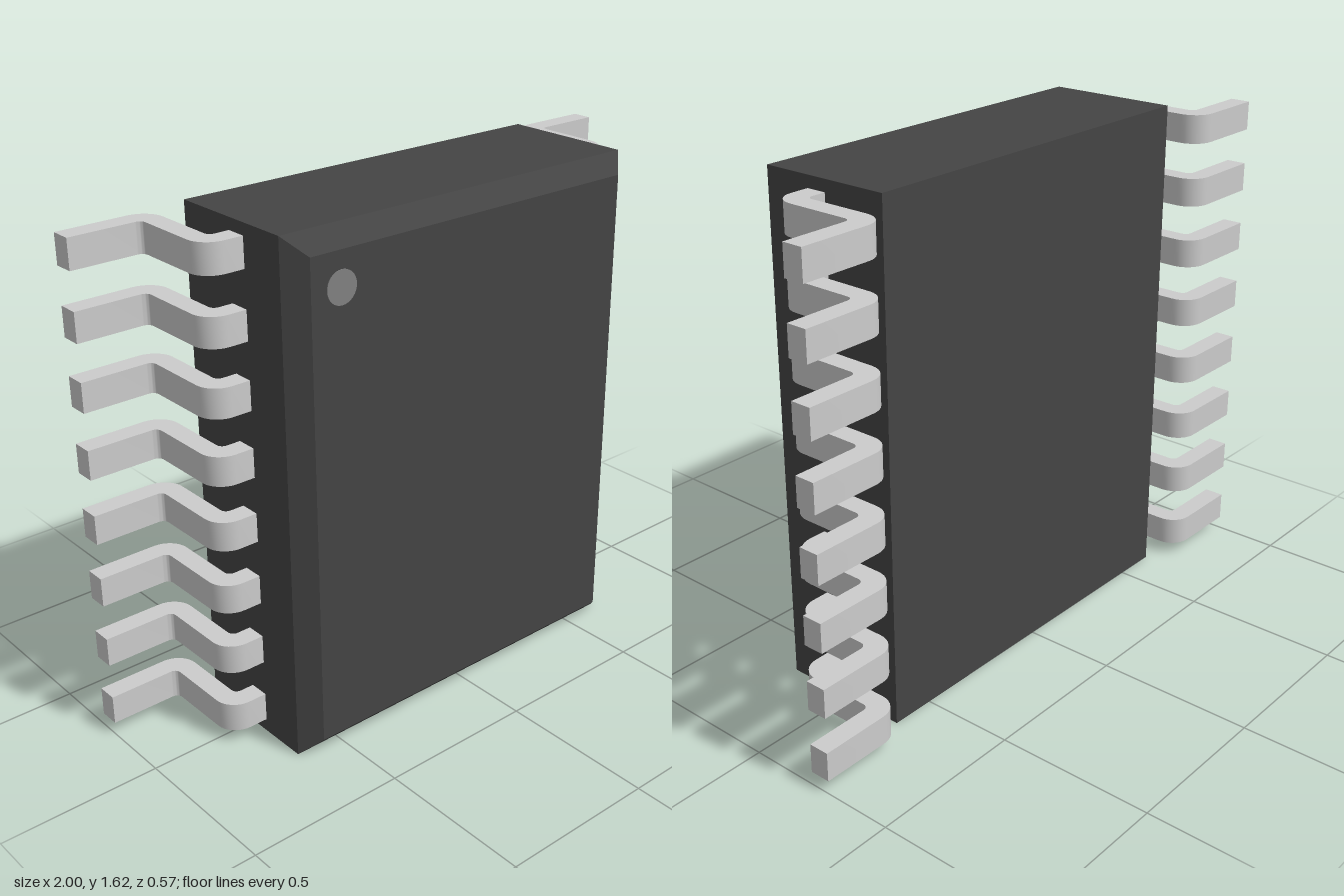
import * as THREE from 'three';
import { toCreasedNormals } from 'three/addons/utils/BufferGeometryUtils.js';

const HALF_W = 0.643, HEIGHT = 1.615, BACK = -0.205, FRONT = 0.28, CHAMFER = 0.056;
const PINS = 8, FIRST_PIN = 0.088, PITCH = 0.2063, PIN_H = 0.092;

// Box whose front rim is cut back at 45 degrees on all four edges
function bodyGeometry() {
  const depth = FRONT - BACK;
  const geo = new THREE.BoxGeometry(HALF_W * 2, HEIGHT, depth, 1, 1, 2);
  const p = geo.attributes.position;
  for (let i = 0; i < p.count; i++) {
    const z = p.getZ(i);
    if (Math.abs(z) < 1e-6) {
      p.setZ(i, depth / 2 - CHAMFER);
    } else if (z > 0) {
      p.setX(i, p.getX(i) - Math.sign(p.getX(i)) * CHAMFER);
      p.setY(i, p.getY(i) - Math.sign(p.getY(i)) * CHAMFER);
    }
  }
  geo.translate(0, HEIGHT / 2, (FRONT + BACK) / 2);
  const flat = geo.toNonIndexed();
  flat.computeVertexNormals();
  return flat;
}

// Bent lead: S-shaped outline seen from above, extruded along y; side is +1 or -1
function leadGeometry(side) {
  const rOut = 0.07, rIn = 0.02;
  const x0 = 0.62, xa = 0.708, xb = 0.772, x1 = 1;   // inside body, riser, tip
  const zFront = 0.068, zInner = 0.004, zFoot = -0.22, zBack = -0.285;
  const s = new THREE.Shape();
  const move = (x, z) => s.moveTo(side * x, -z);
  const line = (x, z) => s.lineTo(side * x, -z);
  const bend = (cx, cz, r, from, to) => {
    for (let i = 0; i <= 8; i++) {
      const a = (from + (to - from) * i / 8) * Math.PI / 2;
      line(cx + r * Math.cos(a), cz + r * Math.sin(a));
    }
  };
  move(x0, zFront);
  bend(xb - rOut, zFront - rOut, rOut, 1, 0);
  bend(xb + rIn, zFoot + rIn, rIn, 2, 3);
  line(x1, zFoot);
  line(x1, zBack);
  bend(xa + rOut, zBack + rOut, rOut, 3, 2);
  bend(xa - rIn, zInner - rIn, rIn, 0, 1);
  line(x0, zInner);
  s.closePath();
  const geo = new THREE.ExtrudeGeometry(s, { depth: PIN_H, bevelEnabled: false });
  geo.rotateX(-Math.PI / 2);
  geo.translate(0, -PIN_H / 2, 0);
  return toCreasedNormals(geo, 0.6);
}

export function createModel() {
  const model = new THREE.Group();
  model.name = 'chipPackage';
  const plastic = new THREE.MeshStandardMaterial({ color: 0x444444 });
  const metal = new THREE.MeshStandardMaterial({ color: 0xcccccc });
  const mark = new THREE.MeshStandardMaterial({ color: 0x818181 });

  const body = new THREE.Mesh(bodyGeometry(), plastic);
  body.name = 'body';
  model.add(body);

  // Round mark beside the first pin
  const dot = new THREE.Mesh(new THREE.CylinderGeometry(0.05, 0.05, 0.01, 32), mark);
  dot.name = 'pinOneMark';
  dot.rotation.x = Math.PI / 2;
  dot.position.set(-0.485, 1.455, FRONT - 0.003);
  model.add(dot);

  // Two rows of leads
  for (const side of [1, -1]) {
    const row = new THREE.Group();
    row.name = side > 0 ? 'leftLeads' : 'rightLeads';
    const geo = leadGeometry(side);
    for (let i = 0; i < PINS; i++) {
      const lead = new THREE.Mesh(geo, metal);
      lead.name = 'lead' + (i + 1);
      lead.position.y = FIRST_PIN + i * PITCH;
      row.add(lead);
    }
    model.add(row);
  }
  return model;
}
